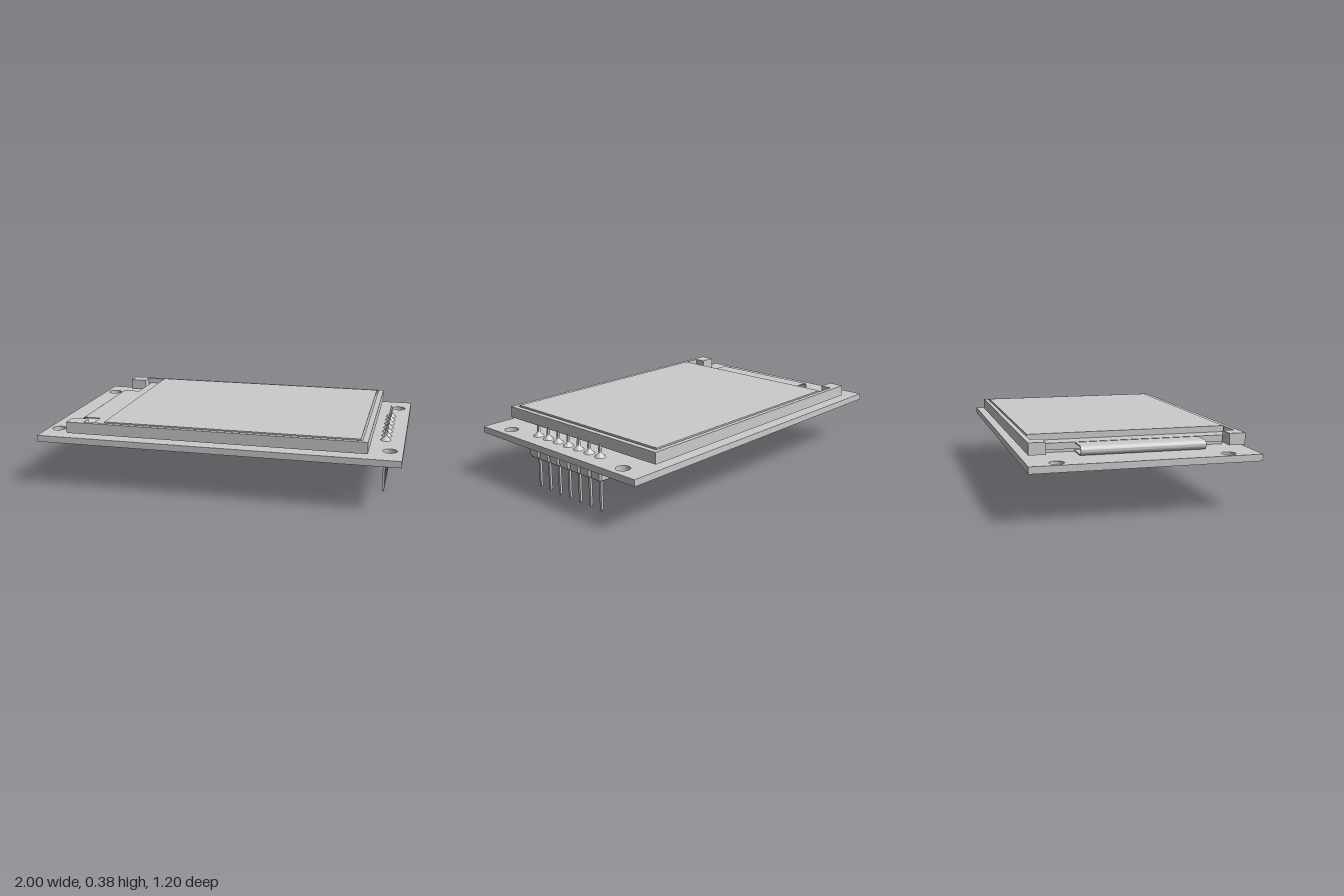
import * as THREE from 'three';
import { toCreasedNormals } from 'three/addons/utils/BufferGeometryUtils.js';

const grey = new THREE.MeshStandardMaterial({ color: 0xcccccc });

function add(parent, name, geometry, x = 0, y = 0, z = 0) {
  const mesh = new THREE.Mesh(geometry, grey);
  mesh.name = name;
  mesh.position.set(x, y, z);
  parent.add(mesh);
  return mesh;
}

// Box given by its limits on each axis
function block(parent, name, x0, x1, y0, y1, z0, z1) {
  return add(parent, name, new THREE.BoxGeometry(x1 - x0, y1 - y0, z1 - z0),
    (x0 + x1) / 2, (y0 + y1) / 2, (z0 + z1) / 2);
}

// Plan outline (x, -z) extruded upward from y = 0
function slab(shape, height, options = {}) {
  const g = new THREE.ExtrudeGeometry(shape, { depth: height, bevelEnabled: false, curveSegments: 16, ...options });
  return toCreasedNormals(g.rotateX(-Math.PI / 2), 0.6);
}

function outline(points) {
  return new THREE.Shape(points.map(([x, y]) => new THREE.Vector2(x, y)));
}

export function createModel() {
  const group = new THREE.Group();
  group.name = 'displayModule';

  // Circuit board with four mounting holes
  const board = outline([[-1, -0.6], [1, -0.6], [1, 0.6], [-1, 0.6]]);
  for (const x of [-0.938, 0.93]) {
    for (const z of [-0.45, 0.438]) {
      const hole = new THREE.Path();
      hole.absarc(x, -z, 0.038, 0, Math.PI * 2, true);
      board.holes.push(hole);
    }
  }
  add(group, 'circuitBoard', slab(board, 0.036), 0, 0.262, 0);

  // Adhesive pad between board and display
  block(group, 'spacerPad', -0.685, 0.755, 0.298, 0.318, -0.5, 0.508);

  // Bezel open on the cable side, with a short return at each arm end
  const half = [[-0.735, 0.548], [-0.735, 0.485], [-0.83, 0.485], [-0.83, 0.573], [0.825, 0.573]];
  const bezel = outline([
    [0.795, 0.548], ...half,
    ...half.map(([x, y]) => [x, -y]).reverse(), [0.795, -0.548],
  ]);
  add(group, 'bezel', slab(bezel, 0.063), 0, 0.317, 0.004);

  // Display stack: backing, lower glass and upper glass
  block(group, 'displayBacking', -0.715, 0.8, 0.317, 0.33, -0.55, 0.556);
  block(group, 'lowerGlass', -0.715, 0.785, 0.33, 0.352, -0.538, 0.544);
  block(group, 'upperGlass', -0.62, 0.785, 0.352, 0.385, -0.538, 0.544);

  // Ribbon cable folded under the display
  const fold = new THREE.Shape();
  fold.moveTo(-0.714, 0.35);
  fold.lineTo(-0.808, 0.35);
  fold.absarc(-0.808, 0.325, 0.025, Math.PI / 2, Math.PI * 1.5, false);
  fold.lineTo(-0.68, 0.3);
  fold.lineTo(-0.68, 0.306);
  fold.lineTo(-0.808, 0.306);
  fold.absarc(-0.808, 0.325, 0.019, Math.PI * 1.5, Math.PI / 2, true);
  fold.lineTo(-0.714, 0.344);
  const ribbon = new THREE.ExtrudeGeometry(fold, { depth: 0.665, bevelEnabled: false, curveSegments: 16 });
  add(group, 'ribbonCable', toCreasedNormals(ribbon, 0.6), 0, 0, -0.305);

  // Seven-pin header with chamfered housing cells and solder joints
  const header = new THREE.Group();
  header.name = 'pinHeader';
  header.position.x = 0.895;
  group.add(header);

  const pitch = 0.0816, bevel = 0.004;
  const w = 0.039 - bevel, d = pitch / 2 - bevel, c = 0.008;
  const cell = slab(outline([
    [-w + c, -d], [w - c, -d], [w, -d + c], [w, d - c],
    [w - c, d], [-w + c, d], [-w, d - c], [-w, -d + c],
  ]), 0.076 - 2 * bevel, { bevelEnabled: true, bevelSize: bevel, bevelThickness: bevel, bevelSegments: 1 });

  const solder = toCreasedNormals(new THREE.LatheGeometry(
    [[0.029, 0], [0.026, 0.004], [0.016, 0.013], [0.009, 0.022], [0.006, 0.032]]
      .map(([r, y]) => new THREE.Vector2(r, y)), 20), 0.6);

  // Square pin with tapered ends
  const pin = new THREE.LatheGeometry(
    [[0, 0], [0.005, 0], [0.0095, 0.018], [0.0095, 0.342], [0.004, 0.364], [0, 0.364]]
      .map(([r, y]) => new THREE.Vector2(r, y)), 4).rotateY(Math.PI / 4);
  const pinFlat = toCreasedNormals(pin, 0.2);

  for (let i = 0; i < 7; i++) {
    const z = -0.002 + (i - 3) * pitch;
    add(header, 'headerCell', cell, 0, 0.182 + bevel, z);
    add(header, 'headerPin', pinFlat, 0, 0, z);
    add(header, 'solderJoint', solder, 0, 0.298, z);
  }
  return group;
}
